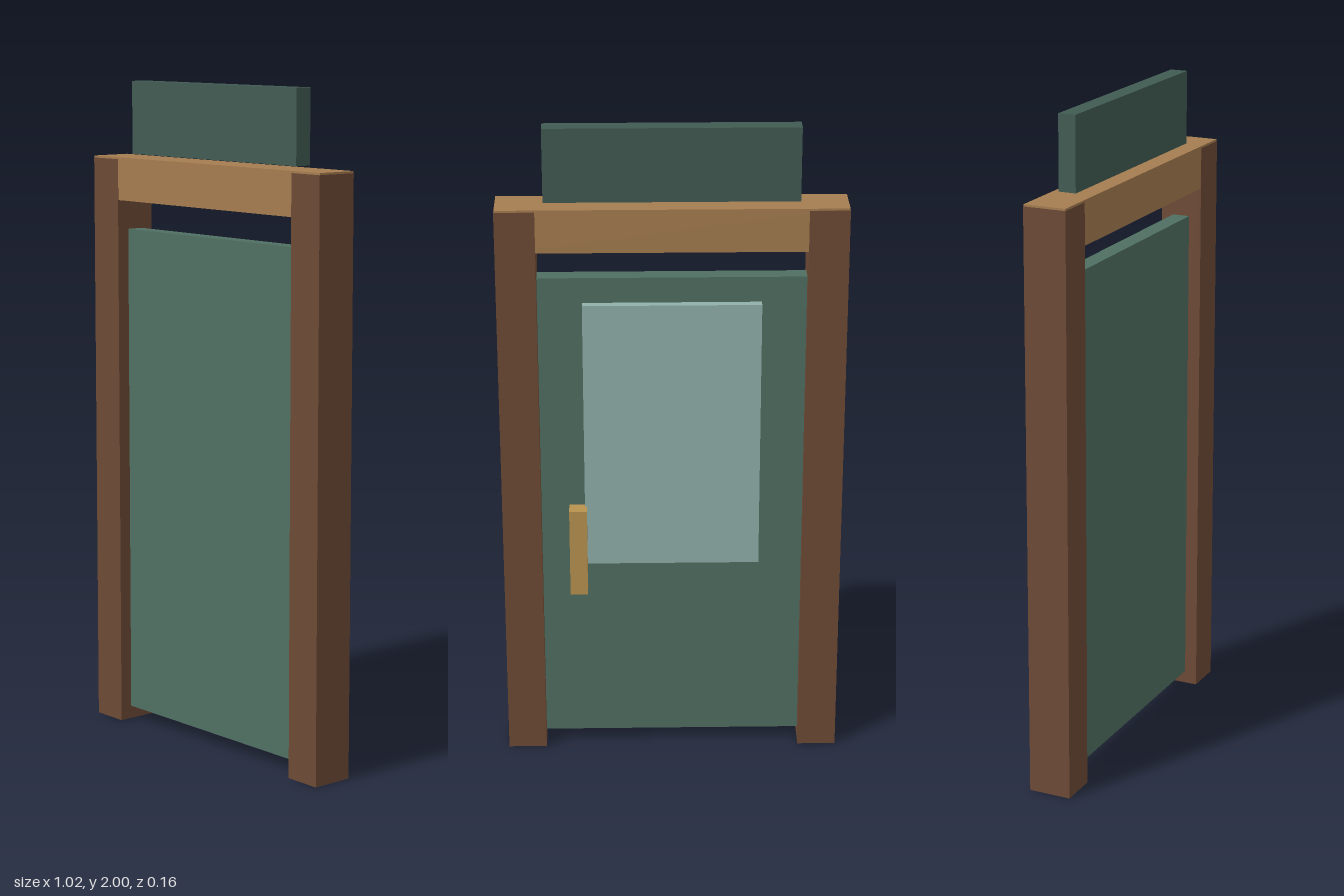
import * as THREE from 'three';

export function createModel() {
  const model = new THREE.Group();
  model.name = 'doorway';

  const material = (color) => new THREE.MeshStandardMaterial({ color });
  const darkWood = material(0x6d4a35);
  const lightWood = material(0xa57c50);
  const doorPaint = material(0x4f6f61);
  const signPaint = material(0x415b52);
  const glass = material(0x91b0aa);
  const brass = material(0xb8924e);

  // Box given by its extents along each axis
  function block(name, mat, [x0, x1], [y0, y1], [z0, z1]) {
    const mesh = new THREE.Mesh(new THREE.BoxGeometry(x1 - x0, y1 - y0, z1 - z0), mat);
    mesh.position.set((x0 + x1) / 2, (y0 + y1) / 2, (z0 + z1) / 2);
    mesh.name = name;
    model.add(mesh);
  }

  // Frame: two posts, with the lintel lapped over their tops
  block('leftPost', darkWood, [0.393, 0.51], [0, 1.764], [-0.053, 0.077]);
  block('rightPost', darkWood, [-0.51, -0.393], [0, 1.764], [-0.053, 0.077]);
  block('lintel', lightWood, [-0.509, 0.509], [1.64, 1.77], [-0.052, 0.076]);

  // Door leaf with a window pane and a pull handle on the back
  block('door', doorPaint, [-0.395, 0.395], [0.04, 1.55], [-0.015, 0.038]);
  block('windowPane', glass, [-0.262, 0.262], [0.635, 1.473], [-0.041, -0.014]);
  block('handle', brass, [0.256, 0.309], [0.55, 0.828], [-0.08, -0.027]);

  // Sign board standing just above the lintel
  block('signBoard', signPaint, [-0.37, 0.37], [1.78, 2], [-0.015, 0.038]);

  return model;
}
